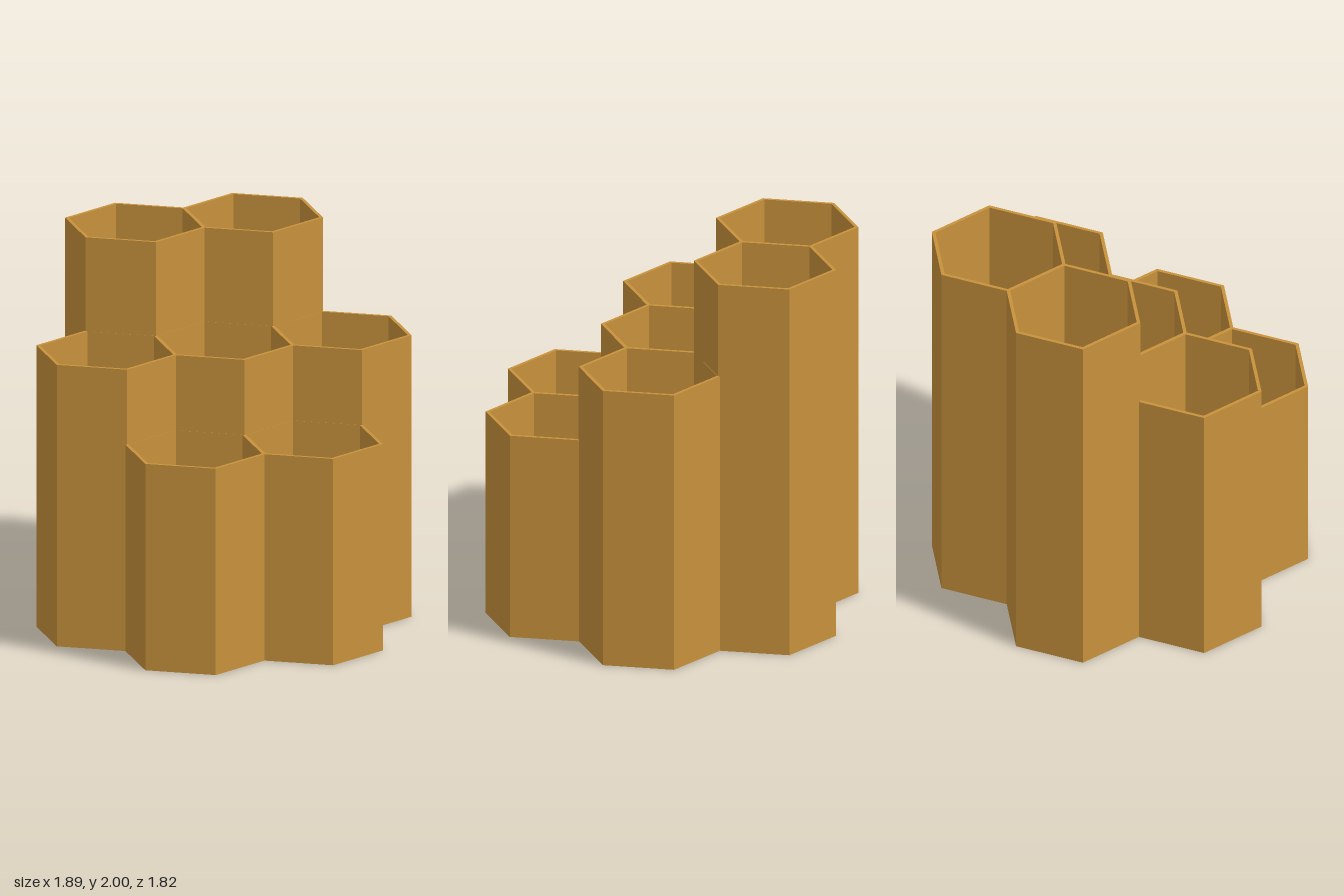
import * as THREE from 'three';

const PITCH = 0.625;  // distance between neighbouring cell centres
const OUTER = 0.37;   // corner radius of a cell
const INNER = 0.35;   // corner radius of its hollow
const FLOOR = 0.04;   // thickness of the closed bottom

// One hollow hexagonal cup, open at the top, corners pointing along z
function makeCell(height, material) {
  const profile = [
    [0, 0], [OUTER, 0], [OUTER, height], [INNER, height], [INNER, FLOOR], [0, FLOOR],
  ].map(([x, y]) => new THREE.Vector2(x, y));
  return new THREE.Mesh(new THREE.LatheGeometry(profile, 6), material);
}

export function createModel() {
  const group = new THREE.Group();
  group.name = 'hexagonalOrganizer';

  const amber = new THREE.MeshStandardMaterial({ color: 0xc8923c });
  amber.name = 'amber';
  amber.flatShading = true;

  // Three honeycomb rows stepping up from front to back
  const rows = [
    { name: 'frontCell', count: 2, z: 1, height: 1.1 },
    { name: 'middleCell', count: 3, z: 0, height: 1.5 },
    { name: 'backCell', count: 2, z: -1, height: 2 },
  ];
  for (const row of rows) {
    for (let i = 0; i < row.count; i++) {
      const cell = makeCell(row.height, amber);
      cell.name = `${row.name}${i + 1}`;
      cell.position.set(
        (i - (row.count - 1) / 2) * PITCH, 0, row.z * PITCH * Math.sqrt(3) / 2);
      group.add(cell);
    }
  }
  return group;
}
